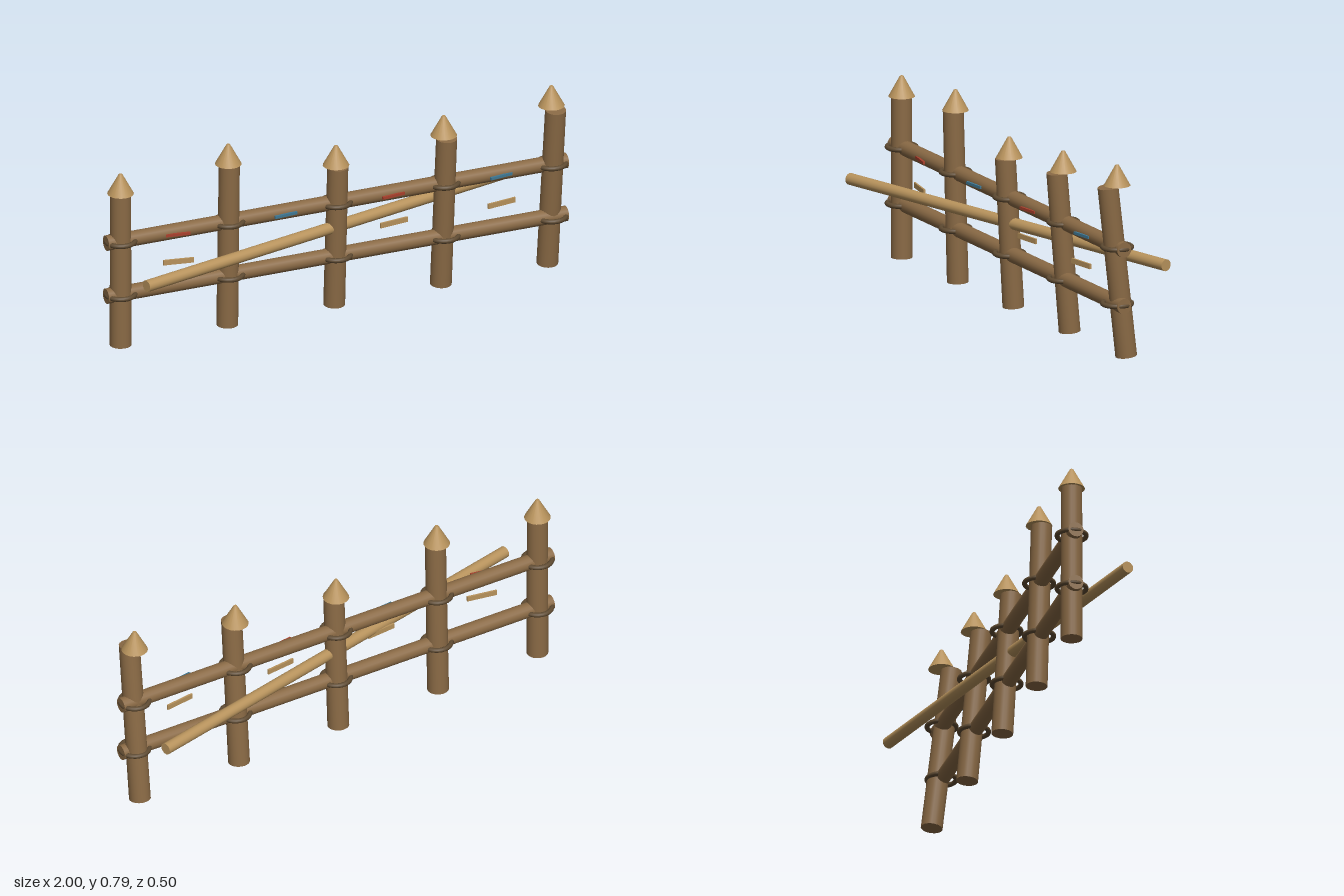
import * as THREE from 'three';

const mat = (color) => new THREE.MeshStandardMaterial({ color });

export function createModel() {
  const fence = new THREE.Group();
  fence.name = 'fence';
  const bark = mat(0x8a6a45), paleWood = mat(0xb8935c), rope = mat(0x5f4b32);
  const red = mat(0xa8402c), blue = mat(0x3f7894);
  const Z = -0.007, SPACING = 0.4655, RAIL_HEIGHTS = [0.225, 0.455];

  const add = (name, geometry, material, x, y, z) => {
    const mesh = new THREE.Mesh(geometry, material);
    mesh.name = name;
    mesh.position.set(x, y, z);
    fence.add(mesh);
    return mesh;
  };

  // Posts lean forward more and more along the row; caps and lashings stay level
  const ringGeometry = new THREE.TorusGeometry(0.058, 0.01, 10, 28).rotateX(Math.PI / 2);
  const capGeometry = new THREE.CylinderGeometry(0.007, 0.053, 0.084, 20);
  [0.66, 0.705, 0.615, 0.66, 0.705].forEach((top, i) => {
    const x = (i - 2) * SPACING, height = top - 0.005;
    const post = add('post', new THREE.CylinderGeometry(0.042, 0.0435, height, 20), bark, x, 0.005 + height / 2, Z);
    post.rotation.x = i * 0.029;
    add('postCap', capGeometry, paleWood, x, top + 0.042, Z);
    for (const y of RAIL_HEIGHTS) add('lashing', ringGeometry, rope, x, y, Z);
  });

  // Horizontal rails
  const railGeometry = new THREE.CylinderGeometry(0.031, 0.031, 1.988, 18).rotateZ(Math.PI / 2);
  for (const y of RAIL_HEIGHTS) add('rail', railGeometry, bark, 0, y, Z);

  // Pale pole crossing the fence at an angle
  const poleGeometry = new THREE.CylinderGeometry(0.024, 0.024, 1.9, 18).rotateZ(Math.PI / 2);
  add('crossPole', poleGeometry, paleWood, 0, 0.352, -0.001).rotation.y = 0.243;

  // Small slats between posts, each with a painted strip on the upper rail
  [-0.17, 0.1, 0.13, 0.15].forEach((turn, i) => {
    const x = (i - 1.5) * SPACING;
    add('slat', new THREE.BoxGeometry(0.126, 0.021, 0.008), paleWood, x, 0.34, 0.033).rotation.y = turn;
    add('paintedStrip', new THREE.BoxGeometry(0.1, 0.011, 0.01), i % 2 ? blue : red, x, 0.455, 0.03).rotation.y = turn;
  });

  return fence;
}
